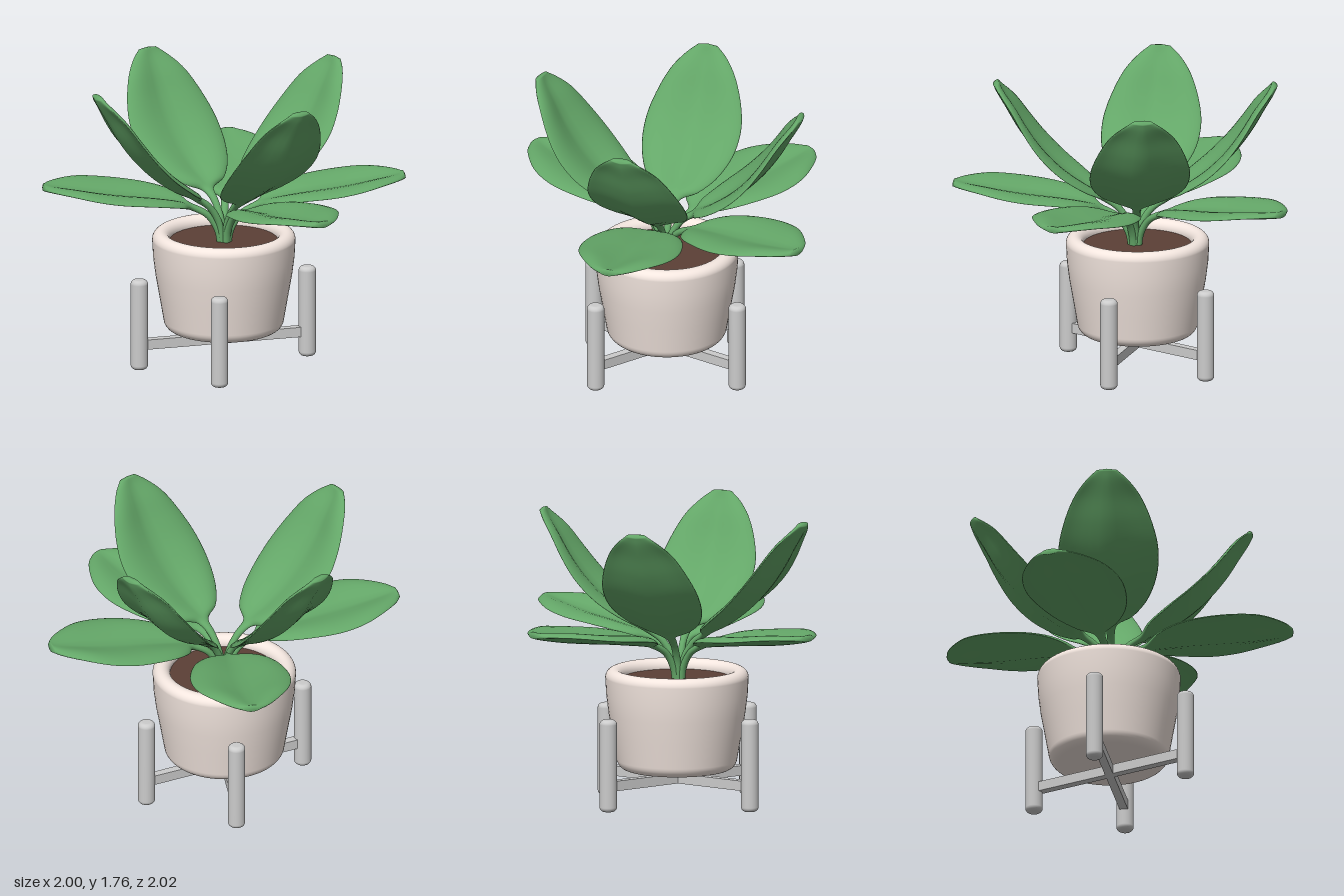
import * as THREE from 'three';

const mat = (color) => new THREE.MeshStandardMaterial({ color });
const grey = mat(0xcccccc), green = mat(0x64a768), cream = mat(0xf3e6df), brown = mat(0x5c4036);
const rad = THREE.MathUtils.degToRad;

function add(parent, name, geometry, material) {
  const mesh = new THREE.Mesh(geometry, material);
  mesh.name = name;
  parent.add(mesh);
  return mesh;
}

function addGroup(parent, name, x, z) {
  const group = new THREE.Group();
  group.name = name;
  group.position.set(x, 0, z);
  parent.add(group);
  return group;
}

// Appends a rounded corner to a lathe profile
function arc(points, cx, cy, r, from, to, steps = 8) {
  for (let i = 0; i <= steps; i++) {
    const a = rad(from + ((to - from) * i) / steps);
    points.push(new THREE.Vector2(cx + r * Math.cos(a), cy + r * Math.sin(a)));
  }
}

// Leaf with stem along +x: stations are [distance out, height, half width]
function leafGeometry(stations, cup, thick) {
  const ROWS = 64, SIDES = 32;
  const curve = new THREE.CatmullRomCurve3(stations.map((s) => new THREE.Vector3(...s)), false, 'centripetal');
  const positions = [], index = [];
  for (let i = 0; i <= ROWS; i++) {
    const [r, y, w] = curve.getPoint(i / ROWS).toArray();
    const d = curve.getTangent(i / ROWS);
    const len = Math.hypot(d.x, d.y);
    const nx = -d.y / len, ny = d.x / len;
    const blade = THREE.MathUtils.smoothstep(w, 0.03, 0.28);
    const t = Math.min(w, thick);
    for (let j = 0; j < SIDES; j++) {
      const a = (j / SIDES) * Math.PI * 2;
      const c = Math.cos(a);
      // sides rise softly from the midrib and roll down at the rim
      const lift = t * Math.sin(a) + cup * blade * Math.sin(Math.pow(Math.abs(c), 1.25) * 2.25);
      positions.push(r + nx * lift, y + ny * lift, w * c);
    }
  }
  for (let i = 0; i < ROWS; i++) {
    for (let j = 0; j < SIDES; j++) {
      const k = (j + 1) % SIDES;
      const a = i * SIDES + j, b = i * SIDES + k;
      index.push(a, a + SIDES, b, b, a + SIDES, b + SIDES);
    }
  }
  // end caps
  const last = ROWS * SIDES, first = (ROWS + 1) * SIDES;
  const s = stations[0], e = stations[stations.length - 1];
  positions.push(s[0], s[1], 0, e[0] + 0.004, e[1] + 0.006, 0);
  for (let j = 0; j < SIDES; j++) {
    const k = (j + 1) % SIDES;
    index.push(first, j, k, first + 1, last + k, last + j);
  }
  const g = new THREE.BufferGeometry();
  g.setAttribute('position', new THREE.Float32BufferAttribute(positions, 3));
  g.setIndex(index);
  g.computeVertexNormals();
  return g;
}

export function createModel() {
  const model = new THREE.Group();
  model.name = 'pottedPlant';

  // Pot with rounded foot and rim, open at the top
  const planter = addGroup(model, 'planter', 0.006, -0.104);
  const pot = [new THREE.Vector2(0, 0.21)];
  arc(pot, 0.29, 0.28, 0.07, -90, -8);
  pot.push(new THREE.Vector2(0.385, 0.42), new THREE.Vector2(0.408, 0.55), new THREE.Vector2(0.422, 0.66));
  arc(pot, 0.376, 0.768, 0.052, 0, 180, 16);
  pot.push(new THREE.Vector2(0.324, 0.7));
  add(planter, 'pot', new THREE.LatheGeometry(pot, 64), cream);
  add(planter, 'soil', new THREE.CylinderGeometry(0.338, 0.33, 0.05, 48), brown).position.y = 0.735;

  // Stand: four round legs joined by two crossing bars
  const stand = addGroup(model, 'stand', 0, -0.1);
  const leg = [new THREE.Vector2(0, 0.004)];
  arc(leg, 0.024, 0.032, 0.028, -90, 0);
  arc(leg, 0.024, 0.532, 0.028, 0, 90);
  leg.push(new THREE.Vector2(0, 0.56));
  const legGeometry = new THREE.LatheGeometry(leg, 28);
  for (const [x, z] of [[0.5, 0.15], [0.3, -0.42]]) {
    for (const side of [1, -1]) {
      add(stand, 'leg', legGeometry, grey).position.set(side * x, 0, side * z);
    }
    const bar = add(stand, 'crossBar', new THREE.BoxGeometry(2 * Math.hypot(x, z) - 0.06, 0.06, 0.05), grey);
    bar.position.y = 0.157;
    bar.rotation.y = -Math.atan2(z, x);
  }

  // Steep upper leaves
  const upper = leafGeometry([
    [0.015, 0.73, 0.024], [0.035, 0.88, 0.022], [0.1, 0.985, 0.022], [0.175, 1.04, 0.04],
    [0.22, 1.07, 0.14], [0.31, 1.115, 0.22], [0.45, 1.215, 0.285], [0.58, 1.345, 0.298],
    [0.68, 1.48, 0.262], [0.755, 1.61, 0.2], [0.81, 1.705, 0.12], [0.832, 1.755, 0.06],
  ], 0.042, 0.02);
  // Wide lower leaves
  const lower = leafGeometry([
    [0.02, 0.72, 0.024], [0.04, 0.83, 0.022], [0.1, 0.925, 0.022], [0.2, 0.98, 0.035],
    [0.255, 0.995, 0.13], [0.35, 1.01, 0.215], [0.52, 1.035, 0.28], [0.68, 1.055, 0.298],
    [0.84, 1.078, 0.265], [0.97, 1.102, 0.185], [1.05, 1.12, 0.11], [1.085, 1.13, 0.05],
  ], 0.045, 0.02);
  const leaves = addGroup(model, 'leaves', 0, -0.09);
  for (const a of [-5, 90, 188.5, 269.5]) add(leaves, 'upperLeaf', upper, green).rotation.y = -rad(a);
  for (const a of [25, 90, 206.5, 304.5]) add(leaves, 'lowerLeaf', lower, green).rotation.y = -rad(a);

  return model;
}
